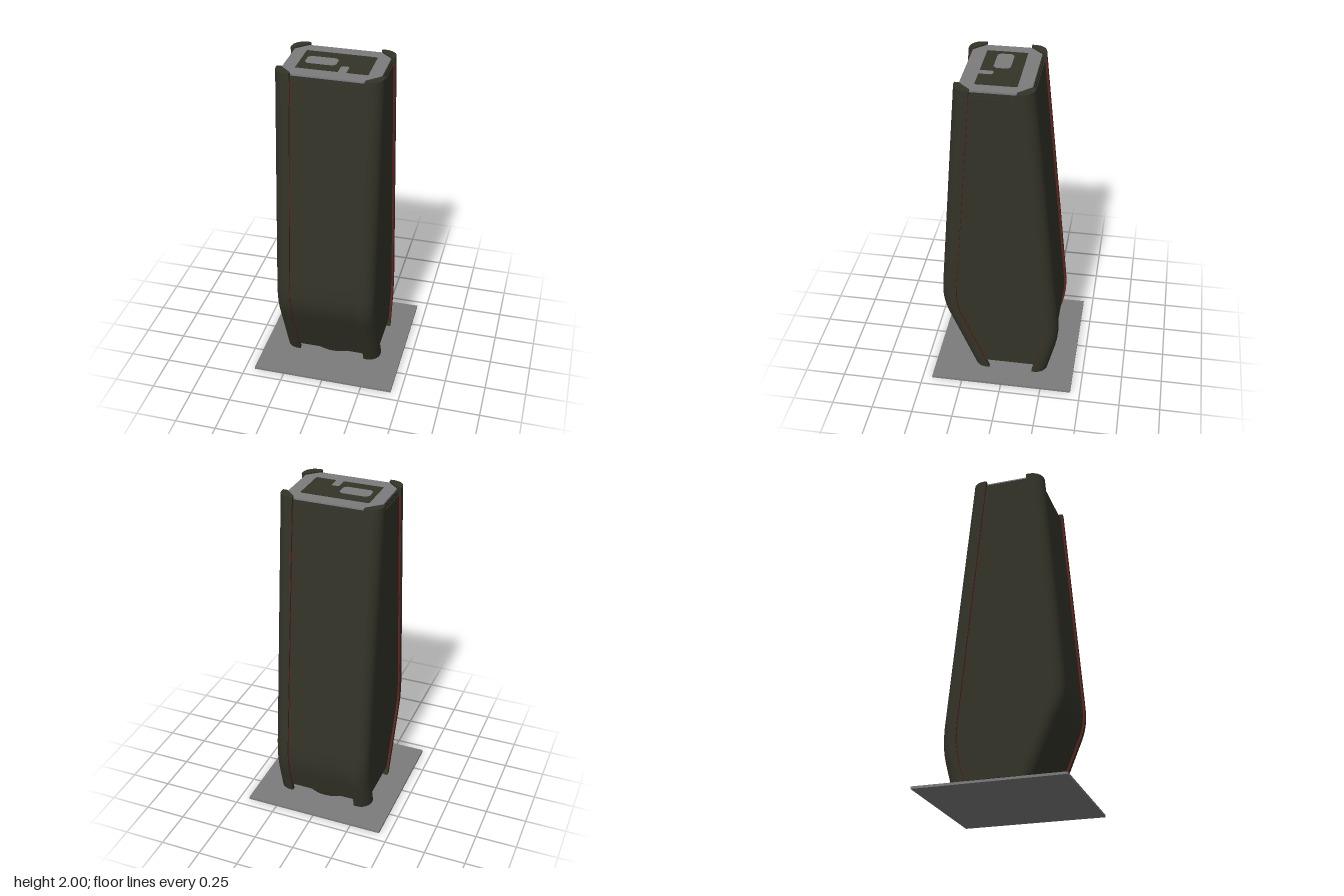
import * as THREE from 'three';
import { toCreasedNormals } from 'three/addons/utils/BufferGeometryUtils.js';

const mat = (name, color) => {
  const m = new THREE.MeshStandardMaterial({ color });
  m.name = name;
  return m;
};

// Side profile of the tower: [height, z]
const FRONT = [[0, 0.185], [0.43, 0.362], [0.47, 0.375], [0.51, 0.384], [0.56, 0.389], [0.61, 0.388], [0.67, 0.384], [2, 0.28]];
const BACK = [[0, -0.267], [0.19, -0.315], [0.24, -0.325], [0.29, -0.331], [0.34, -0.332], [0.4, -0.329], [2, -0.17]];
const HALF_X = 0.305, POST = 0.095;

function at(profile, y) {
  for (let i = 1; i < profile.length; i++) {
    const [y0, z0] = profile[i - 1], [y1, z1] = profile[i];
    if (y <= y1) return z0 + (z1 - z0) * (y - y0) / (y1 - y0);
  }
  return profile[profile.length - 1][1];
}

// Heights of all knees between two limits
function heights(y0, y1) {
  const mid = [...FRONT, ...BACK].map(p => p[0]).filter(y => y > y0 + 0.005 && y < y1 - 0.005);
  return [y0, ...new Set(mid), y1].sort((a, b) => a - b);
}

// Closed solid through convex rings; section(y) returns [x, z] pairs
function loft(ys, section) {
  const rings = ys.map(y => {
    const s = section(y);
    let area = 0;
    s.forEach(([x, z], i) => {
      const [u, w] = s[(i + 1) % s.length];
      area += x * w - u * z;
    });
    if (area > 0) s.reverse();
    return s.map(([x, z]) => [x, y, z]);
  });
  const n = rings[0].length, pos = [];
  const tri = (a, b, c) => pos.push(...a, ...b, ...c);
  for (let i = 0; i + 1 < rings.length; i++) {
    for (let j = 0; j < n; j++) {
      const k = (j + 1) % n, lo = rings[i], hi = rings[i + 1];
      tri(lo[j], lo[k], hi[k]);
      tri(lo[j], hi[k], hi[j]);
    }
  }
  const top = rings[rings.length - 1], bottom = rings[0];
  for (let j = 1; j + 1 < n; j++) {
    tri(top[0], top[j], top[j + 1]);
    tri(bottom[0], bottom[j + 1], bottom[j]);
  }
  const g = new THREE.BufferGeometry();
  g.setAttribute('position', new THREE.Float32BufferAttribute(pos, 3));
  return toCreasedNormals(g, 0.45);
}

// Chamfered rectangle following the profile, set in by a margin
const octagon = inset => y => {
  const x = HALF_X - inset, f = at(FRONT, y) - inset, b = at(BACK, y) + inset;
  const c = POST - inset;
  return [[x, b + c], [x, f - c], [x - c, f], [c - x, f], [-x, f - c], [-x, b + c], [c - x, b], [x - c, b]];
};

// Corner section: points measured inwards from the outer corner
const corner = (sx, sz, points) => y => points.map(([d, e]) =>
  [sx * (HALF_X - d), sz > 0 ? at(FRONT, y) - e : at(BACK, y) + e]);

function rect(path, x0, z0, x1, z1, c) {
  path.moveTo(x0 + c, -z0);
  [[x1 - c, z0], [x1, z0 + c], [x1, z1 - c], [x1 - c, z1], [x0 + c, z1], [x0, z1 - c], [x0, z0 + c]]
    .forEach(([x, z]) => path.lineTo(x, -z));
  path.closePath();
  return path;
}

export function createModel() {
  const olive = mat('dark olive', 0x333328);
  const grey = mat('grey', 0x7c7c7c);
  const red = mat('dark red', 0x7a1616);
  const model = new THREE.Group();
  model.name = 'tower';
  const add = (name, geometry, material, parent = model) => {
    const mesh = new THREE.Mesh(geometry, material);
    mesh.name = name;
    parent.add(mesh);
    return mesh;
  };

  // Ground plate and round footing
  add('basePlate', new THREE.BoxGeometry(0.88, 0.014, 0.88), grey).position.y = 0.007;
  add('footing', new THREE.CylinderGeometry(0.22, 0.2, 0.06, 40), olive).position.set(0, 0.042, -0.04);

  // Recessed wall panels
  add('wallPanels', loft(heights(0.065, 1.955), octagon(0.013)), olive);

  // Rounded corner posts with thin red seams along their inner edges
  const arc = [];
  const R = 0.075;
  for (let i = 0; i <= 6; i++) {
    const a = i / 6 * Math.PI / 2;
    arc.push([R - R * Math.sin(a), R - R * Math.cos(a)]);
  }
  const post = [[POST, 0], ...arc, [0, POST], [0.025, POST], [POST, 0.025]];
  const p = POST - 0.001, q = POST + 0.001;
  const seams = [
    [[0.004, p], [0.012, p], [0.012, q], [0.004, q]],
    [[p, 0.004], [p, 0.012], [q, 0.012], [q, 0.004]]
  ];
  for (const sx of [-1, 1]) {
    for (const sz of [-1, 1]) {
      const group = new THREE.Group();
      group.name = (sz > 0 ? 'front' : 'back') + (sx > 0 ? 'Left' : 'Right') + 'Corner';
      model.add(group);
      add('post', loft(heights(0.012, 2), corner(sx, sz, post)), olive, group);
      for (const s of seams) add('seam', loft(heights(0.065, 1.955), corner(sx, sz, s)), red, group);
    }
  }

  // Stepped cornice and roof deck
  add('lowerCornice', loft([1.955, 1.97], octagon(0.018)), olive);
  add('upperCornice', loft([1.97, 1.982], octagon(0.022)), olive);
  add('roofDeck', loft([1.982, 1.992], octagon(0.025)), grey);

  // Dark roof surface with a notch at the front and an island left open
  const roof = new THREE.Shape();
  [[-0.205, -0.065], [0.2, -0.065], [0.205, -0.06], [0.205, 0.17], [0.085, 0.17], [0.085, 0.1], [0.075, 0.09],
    [0.045, 0.09], [0.035, 0.1], [0.035, 0.17], [-0.205, 0.17]]
    .forEach(([x, z], i) => i ? roof.lineTo(x, -z) : roof.moveTo(x, -z));
  roof.closePath();
  roof.holes.push(rect(new THREE.Path(), -0.175, 0.005, 0.005, 0.103, 0.018));
  const surface = new THREE.ExtrudeGeometry(roof, { depth: 0.003, bevelEnabled: false });
  surface.rotateX(-Math.PI / 2);
  add('roofSurface', surface, olive).position.y = 1.992;

  return model;
}
